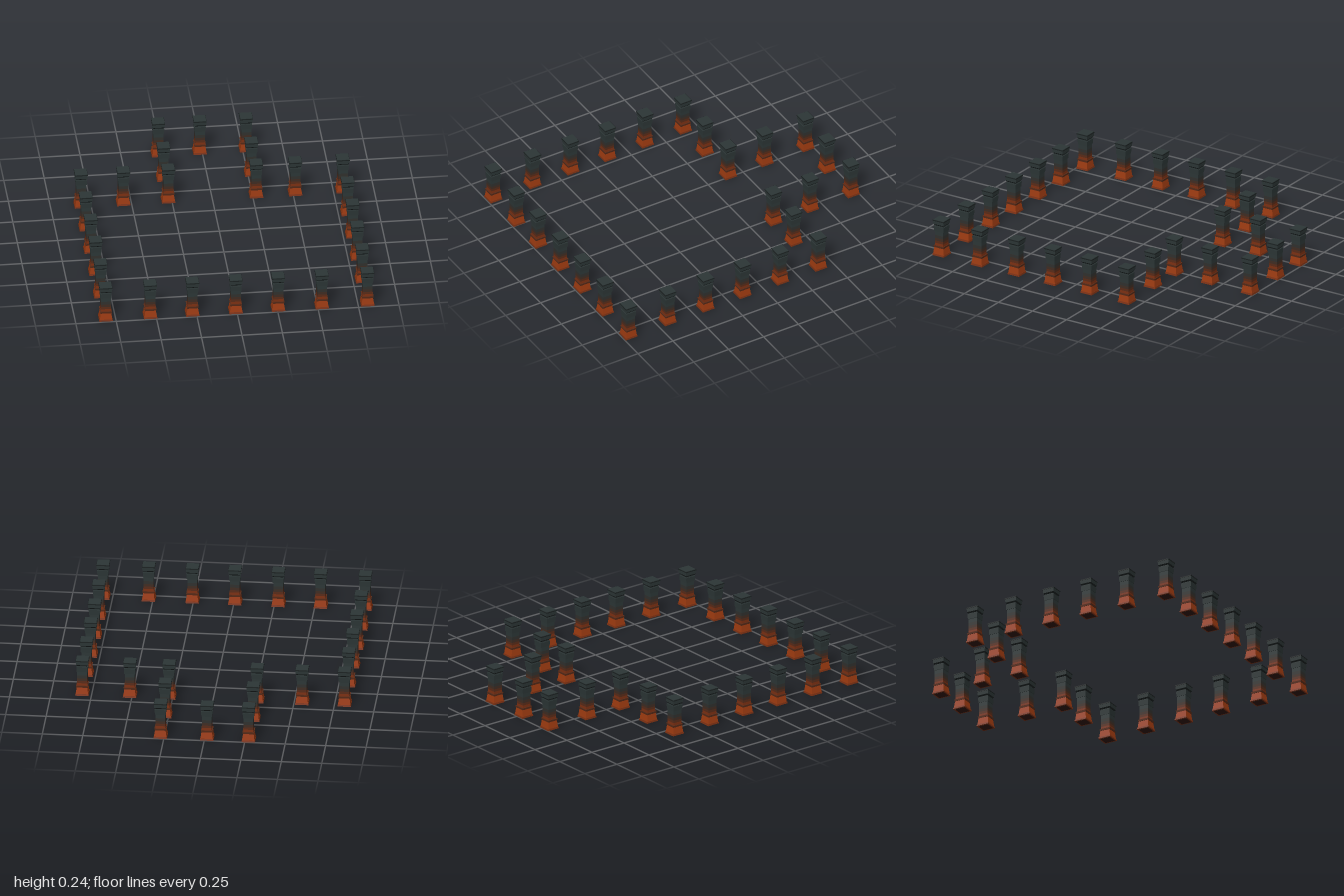
import * as THREE from 'three';

const mat = (name, color) => {
  const m = new THREE.MeshStandardMaterial({ color, flatShading: true });
  m.name = name;
  return m;
};

// Square block tapering from width w0 at y0 to width w1 at y1
function block(w0, w1, y0, y1) {
  const g = new THREE.CylinderGeometry(w1 * Math.SQRT1_2, w0 * Math.SQRT1_2, y1 - y0, 4, 1);
  g.rotateY(Math.PI / 4);
  g.translate(0, (y0 + y1) / 2, 0);
  return g;
}

export function createModel() {
  const slate = mat('slate', 0x2c3636);
  const darkSlate = mat('dark slate', 0x1b2121);
  const warmSlate = mat('warm slate', 0x30302d);
  const brown = mat('brown', 0x3f2c22);
  const rustBrown = mat('rust brown', 0x592b18);
  const rust = mat('rust', 0x7c3012);
  const orange = mat('orange', 0x9c3a10);
  const soot = mat('soot', 0x30160c);

  // Every pillar shares this stack, listed from the ground up
  const parts = [
    ['underside', block(0.066, 0.066, 0, 0.004), soot],
    ['foot', block(0.084, 0.08, 0.001, 0.012), rust],
    ['plinth', block(0.076, 0.066, 0.012, 0.054), orange],
    ['baseBand', block(0.07, 0.073, 0.054, 0.066), rustBrown],
    ['lowerShaft', block(0.06, 0.06, 0.066, 0.082), rust],
    ['emberShaft', block(0.06, 0.06, 0.082, 0.098), rustBrown],
    ['scorchedShaft', block(0.06, 0.06, 0.098, 0.115), brown],
    ['middleShaft', block(0.06, 0.06, 0.115, 0.135), warmSlate],
    ['upperShaft', block(0.06, 0.06, 0.135, 0.206), slate],
    ['collar', block(0.066, 0.07, 0.16, 0.194), slate],
    ['capUnderside', block(0.062, 0.074, 0.2, 0.208), darkSlate],
    ['cap', block(0.074, 0.077, 0.208, 0.23), slate],
    ['capRim', block(0.08, 0.08, 0.23, 0.236), darkSlate],
    ['capTop', block(0.075, 0.075, 0.232, 0.238), slate],
  ];

  // Rows of pillars: z, then the x positions
  const rows = [
    [-0.96, [-0.272, -0.015, 0.272]],
    [-0.667, [-0.272, 0.272]],
    [-0.405, [-0.812, -0.55, -0.272, 0.272, 0.514, 0.808]],
    [-0.132, [-0.812, 0.808]],
    [0.137, [-0.812, 0.808]],
    [0.402, [-0.812, 0.808]],
    [0.673, [-0.812, 0.808]],
    [0.954, [-0.812, -0.536, -0.275, -0.007, 0.256, 0.526, 0.808]],
  ];

  const model = new THREE.Group();
  model.name = 'pillarRing';
  for (const [z, xs] of rows) {
    for (const x of xs) {
      const pillar = new THREE.Group();
      pillar.name = 'pillar';
      for (const [name, geometry, material] of parts) {
        const mesh = new THREE.Mesh(geometry, material);
        mesh.name = name;
        pillar.add(mesh);
      }
      pillar.position.set(x, 0, z);
      model.add(pillar);
    }
  }
  return model;
}
